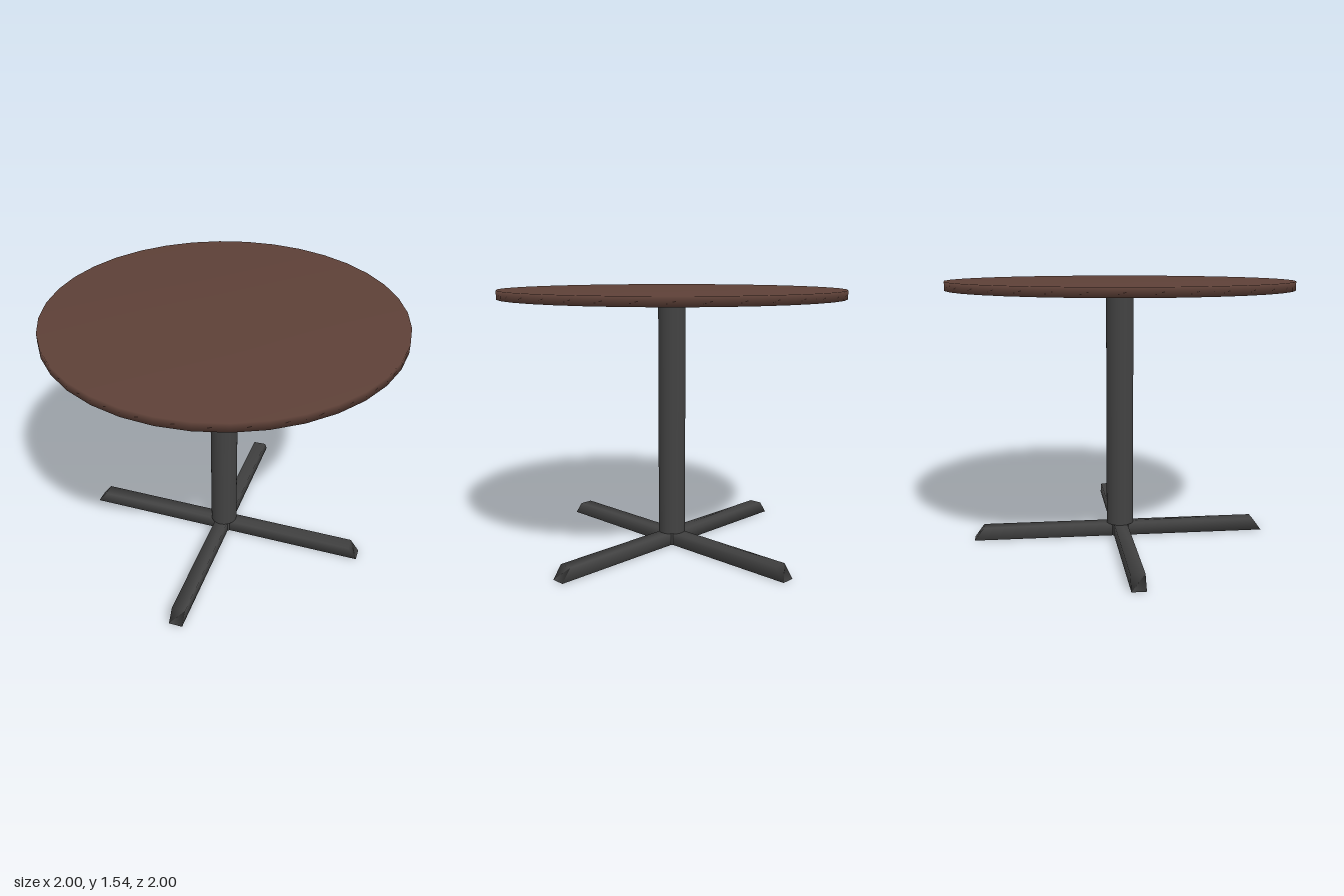
import * as THREE from 'three';
import { mergeVertices } from 'three/addons/utils/BufferGeometryUtils.js';

// Share corners so shading blends across edges
function softened(geometry) {
  geometry.deleteAttribute('uv');
  geometry.deleteAttribute('normal');
  const merged = mergeVertices(geometry);
  merged.computeVertexNormals();
  return merged;
}

export function createModel() {
  const brown = new THREE.MeshStandardMaterial({ color: 0x5d4037 });
  brown.name = 'brown wood';
  const dark = new THREE.MeshStandardMaterial({ color: 0x424242 });
  dark.name = 'dark metal';

  const table = new THREE.Group();
  table.name = 'pedestalTable';
  const add = (name, geometry, material, y) => {
    const mesh = new THREE.Mesh(geometry, material);
    mesh.name = name;
    mesh.position.y = y;
    table.add(mesh);
    return mesh;
  };

  // Round top: brown rim and upper face, dark underside
  const topGeometry = softened(new THREE.CylinderGeometry(1, 1, 0.05, 36));
  add('tableTop', topGeometry, [brown, brown, dark], 1.515);

  // Column and the narrower hub between the feet
  add('column', new THREE.CylinderGeometry(0.08, 0.08, 1.415, 36), dark, 0.7825);
  add('hub', new THREE.CylinderGeometry(0.065, 0.065, 0.074, 24), dark, 0.038);

  // Two crossed foot bars with sloping ends
  const bar = new THREE.BoxGeometry(1.76, 0.075, 0.08);
  const p = bar.attributes.position;
  for (let i = 0; i < p.count; i++) {
    if (p.getY(i) > 0) p.setX(i, Math.sign(p.getX(i)) * 0.825);
  }
  const barGeometry = softened(bar);
  ['sideFootBar', 'frontFootBar'].forEach((name, i) => {
    add(name, barGeometry, dark, 0.0375).rotation.y = i * Math.PI / 2;
  });

  return table;
}
